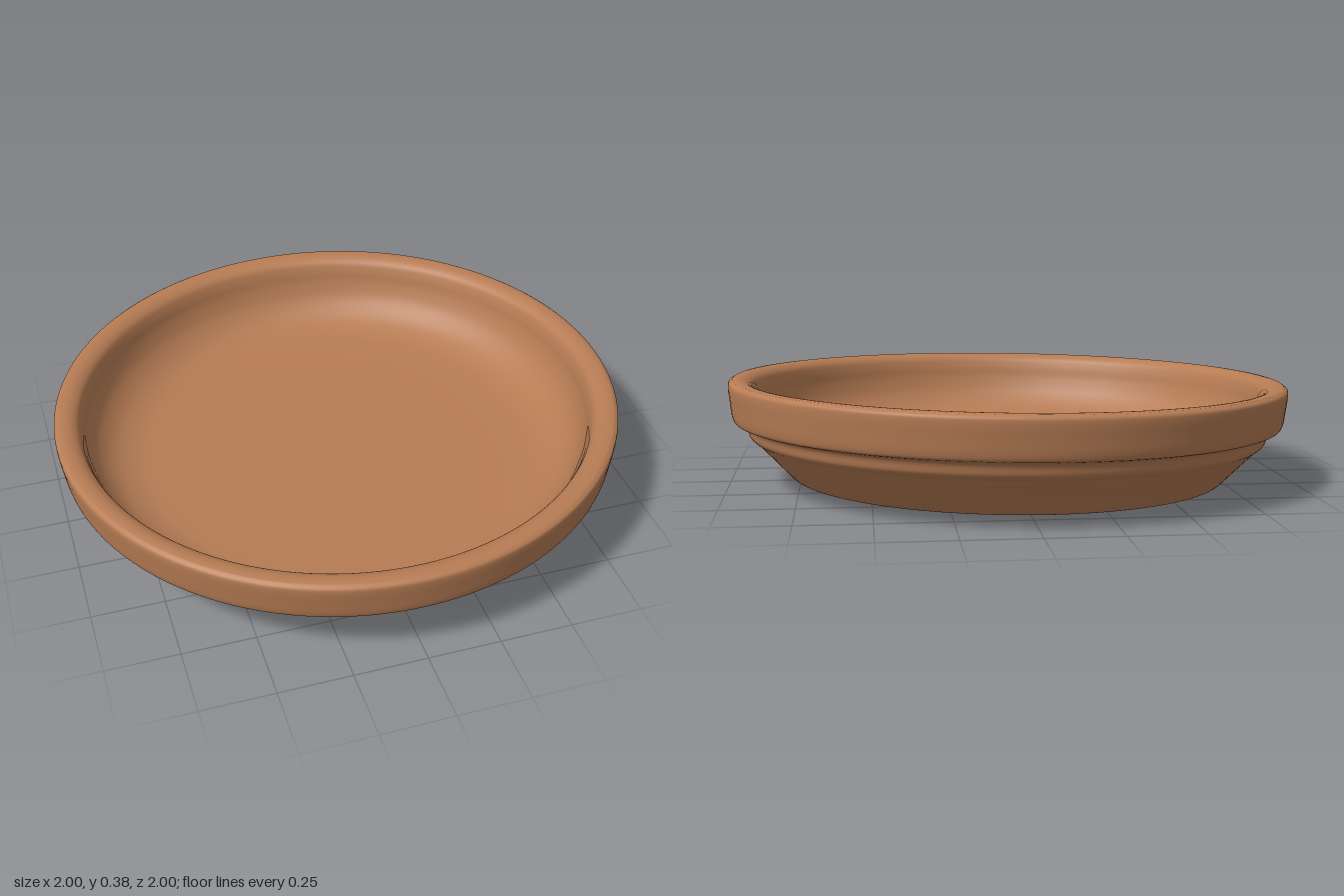
import * as THREE from 'three';

// Smooth open curve through a few [radius, height] points
function smooth(points, samples) {
  const curve = new THREE.CatmullRomCurve3(
    points.map(([r, y]) => new THREE.Vector3(r, y, 0)), false, 'centripetal');
  return curve.getPoints(samples).map((p) => new THREE.Vector2(Math.max(p.x, 0), p.y));
}

export function createModel() {
  const group = new THREE.Group();
  group.name = 'saucer';

  const terracotta = new THREE.MeshStandardMaterial({ color: 0xb67c54 });
  terracotta.name = 'terracotta';

  // Hollow underside and rounded foot ring
  const underside = [
    [0, 0.05], [0.5, 0.05], [0.56, 0.046], [0.6, 0.025], [0.63, 0.004],
    [0.66, 0], [0.755, 0], [0.775, 0.004], [0.79, 0.016],
  ];
  // Sloped wall, narrow step and thick rim band
  const outside = [
    [0.79, 0.016], [0.84, 0.068], [0.893, 0.122], [0.905, 0.134], [0.918, 0.143],
    [0.928, 0.155], [0.935, 0.18], [0.943, 0.192], [0.965, 0.2], [0.98, 0.206],
    [0.987, 0.222], [0.994, 0.27], [1, 0.322], [0.998, 0.338], [0.985, 0.348],
  ];
  // Lip, curved inner wall and flat floor
  const inside = [
    [0.985, 0.348], [0.965, 0.35], [0.94, 0.345], [0.918, 0.33], [0.905, 0.3],
    [0.893, 0.25], [0.865, 0.19], [0.81, 0.138], [0.74, 0.11], [0.65, 0.1], [0, 0.098],
  ];
  const profile = [
    ...smooth(underside, 36),
    ...smooth(outside, 60).slice(1),
    ...smooth(inside, 60).slice(1),
  ];

  const dish = new THREE.Mesh(new THREE.LatheGeometry(profile, 128), terracotta);
  dish.name = 'dish';
  // The dish rests very slightly tilted on its foot
  dish.rotation.set(0.006, 0, 0.016);
  dish.position.set(0.003, 0.0133, 0);
  group.add(dish);

  return group;
}
